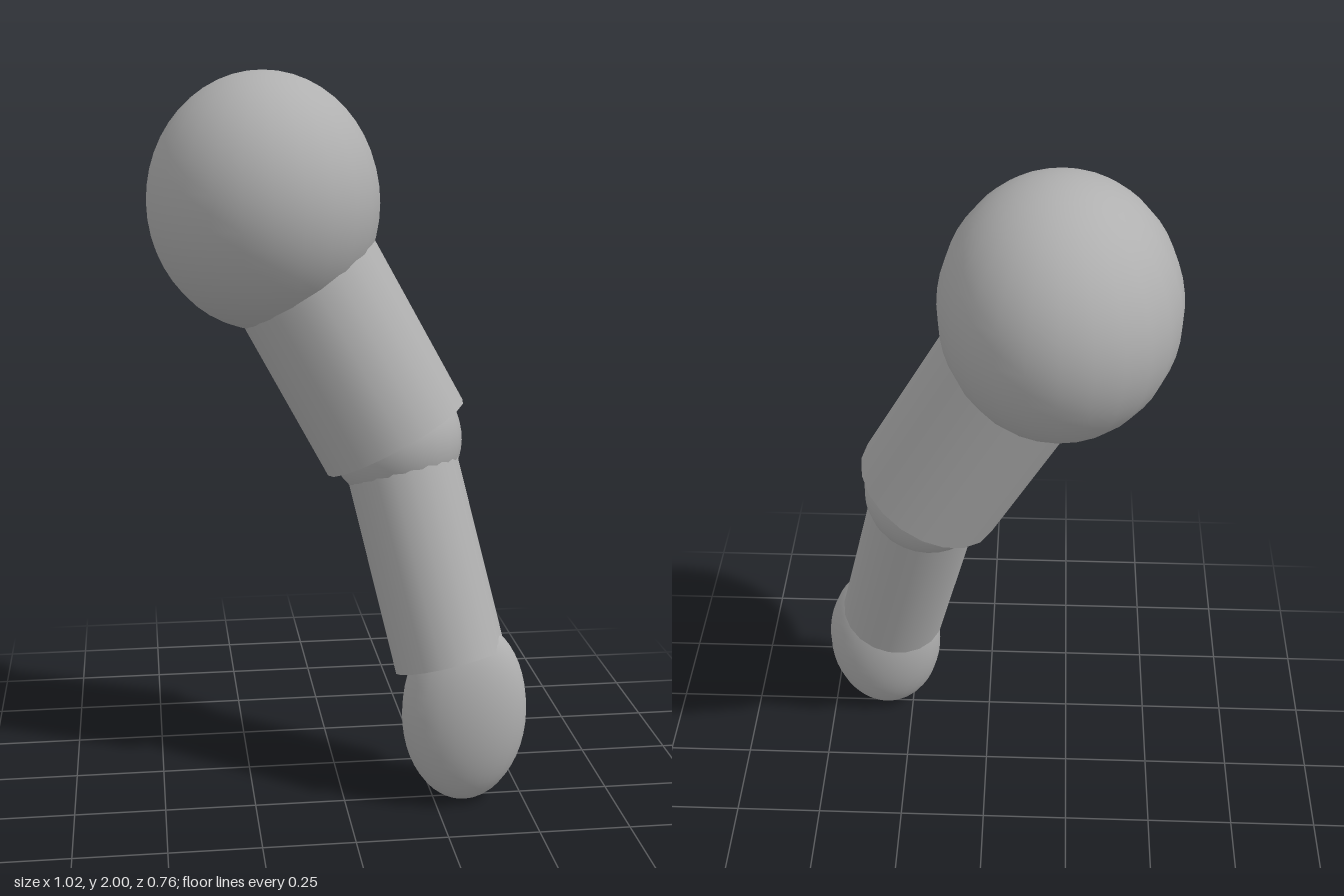
import * as THREE from 'three';

export function createModel() {
  const group = new THREE.Group();
  const grey = new THREE.MeshStandardMaterial({ color: 0xb0b0b0 });
  grey.name = 'plain grey';

  // Joint positions from shoulder to hand
  const shoulder = new THREE.Vector3(-0.19, 1.65, -0.025);
  const elbow = new THREE.Vector3(0.164, 1.0, 0.064);
  const wrist = new THREE.Vector3(0.299, 0.4, 0.231);
  const hand = new THREE.Vector3(0.333, 0.264, 0.266);

  // Ellipsoid with the given half-sizes
  function ball(name, centre, rx, ry, rz) {
    const mesh = new THREE.Mesh(new THREE.SphereGeometry(1, 24, 24), grey);
    mesh.name = name;
    mesh.scale.set(rx, ry, rz);
    mesh.position.copy(centre);
    group.add(mesh);
  }

  // Capped cylinder running from one joint to the next
  function limb(name, from, to, radius) {
    const axis = to.clone().sub(from);
    const mesh = new THREE.Mesh(new THREE.CylinderGeometry(radius, radius, axis.length(), 20), grey);
    mesh.name = name;
    mesh.position.copy(from).add(to).multiplyScalar(0.5);
    mesh.quaternion.setFromUnitVectors(new THREE.Vector3(0, -1, 0), axis.normalize());
    group.add(mesh);
  }

  ball('shoulder', shoulder, 0.318, 0.35, 0.352);
  limb('upperArm', shoulder, elbow, 0.215);
  ball('elbow', elbow, 0.185, 0.185, 0.185);
  limb('forearm', elbow, wrist, 0.157);
  ball('hand', hand, 0.175, 0.264, 0.116);

  return group;
}
